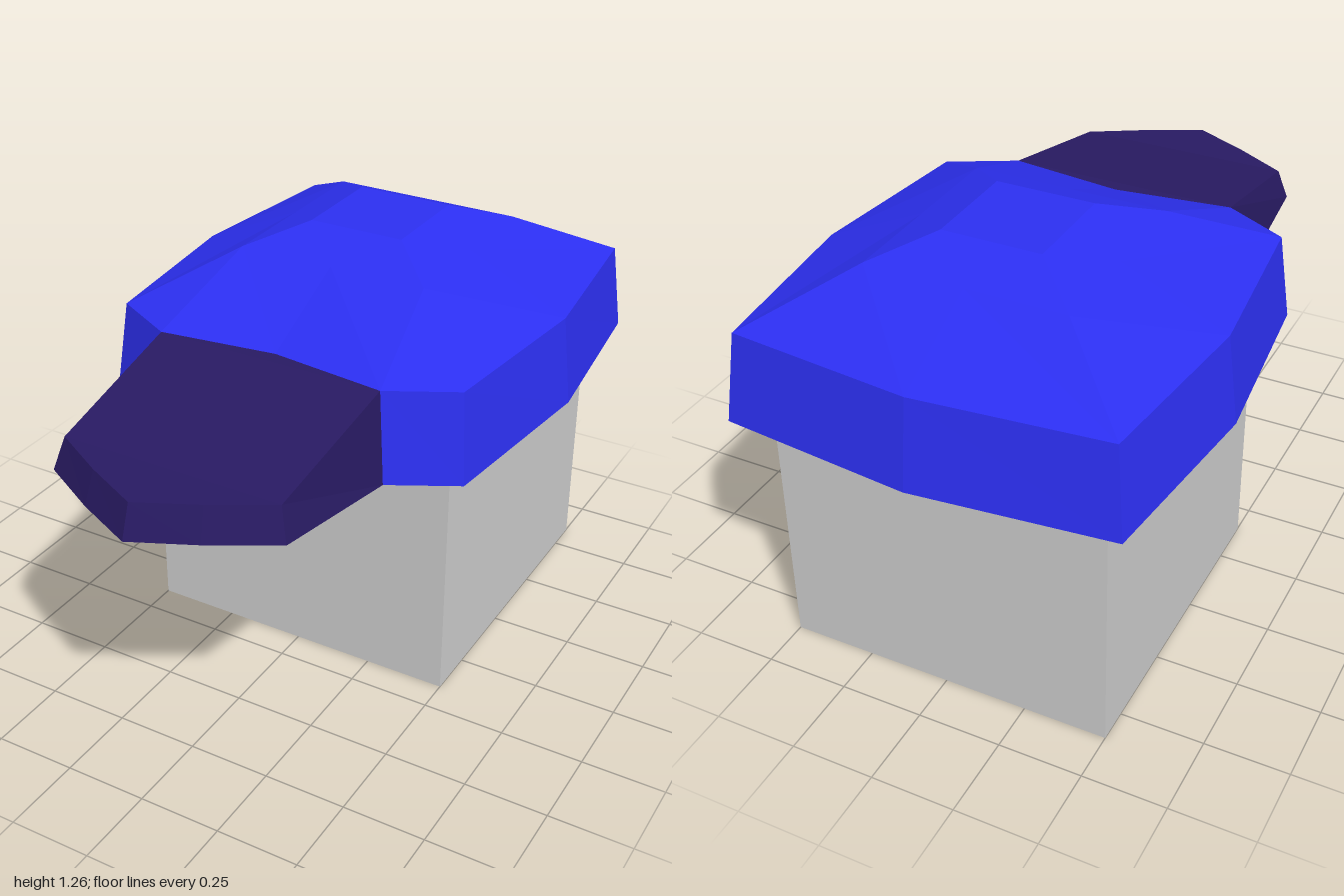
import * as THREE from 'three';

// Complete a half outline (back centre -> +x side -> front centre) by mirroring it.
function mirrorRing(half) {
  const other = half.slice(1, -1).reverse().map(([x, y, z]) => [-x, y, z]);
  return [...half, ...other].map((p) => new THREE.Vector3(...p));
}

// Closed faceted solid through mirrored rings, listed from bottom to top.
function loft(halves) {
  const rings = halves.map(mirrorRing);
  const n = rings[0].length;
  const pos = [];
  const tri = (a, b, c) => {
    if (new THREE.Triangle(a, b, c).getArea() < 1e-6) return;
    for (const p of [a, b, c]) pos.push(p.x, p.y, p.z);
  };
  for (let r = 0; r < rings.length - 1; r++) {
    const lo = rings[r], up = rings[r + 1];
    for (let i = 0; i < n; i++) {
      const j = (i + 1) % n;
      tri(lo[i], up[i], up[j]);
      tri(lo[i], up[j], lo[j]);
    }
  }
  // End caps: strips running from the +x side to the -x side
  const bottom = rings[0], top = rings[rings.length - 1];
  for (let i = 0; i < n / 2; i++) {
    const j = i + 1, mi = (n - i) % n, mj = n - j;
    tri(bottom[i], bottom[j], bottom[mj]);
    tri(bottom[i], bottom[mj], bottom[mi]);
    tri(top[i], top[mj], top[j]);
    tri(top[i], top[mi], top[mj]);
  }
  const geo = new THREE.BufferGeometry();
  geo.setAttribute('position', new THREE.Float32BufferAttribute(pos, 3));
  geo.computeVertexNormals();
  return geo;
}

export function createModel() {
  const model = new THREE.Group();
  model.name = 'cappedHead';
  const add = (name, geo, color) => {
    const mesh = new THREE.Mesh(geo, new THREE.MeshStandardMaterial({ color, flatShading: true }));
    mesh.name = name;
    model.add(mesh);
    return mesh;
  };

  // Block head
  add('head', new THREE.BoxGeometry(1, 1, 1), 0xcccccc).position.set(0, 0.5, -0.35);

  // Cap: flared band, then two sloping crown tiers up to a flat top
  const level = (y, pts) => pts.map(([x, z]) => [x, y, z]);
  const tier = (y, x, back, front) =>
    level(y, [[0, back], [x, back], [x, -0.36], [x, front], [x, front], [0, front]]);
  add('cap', loft([
    level(0.785, [[0, -1], [0.58, -0.94], [0.645, -0.355], [0.58, 0.23], [0.385, 0.335], [0, 0.29]]),
    level(1.055, [[0, -0.965], [0.553, -0.91], [0.613, -0.355], [0.553, 0.2], [0.355, 0.305], [0, 0.26]]),
    tier(1.2, 0.3, -0.66, -0.05),
    tier(1.26, 0.15, -0.51, -0.2),
  ]), 0x2c2ff0);

  // Brim: tapers forward to a blunt point
  add('brim', loft([
    [[0, 0.785, 0.29], [0.385, 0.785, 0.335], [0.365, 0.857, 0.81], [0.18, 0.857, 0.915], [0, 0.857, 1]],
    [[0, 1.055, 0.26], [0.355, 1.055, 0.305], [0.338, 0.955, 0.785], [0.17, 0.955, 0.882], [0, 0.955, 0.965]],
  ]), 0x281a62);

  return model;
}
